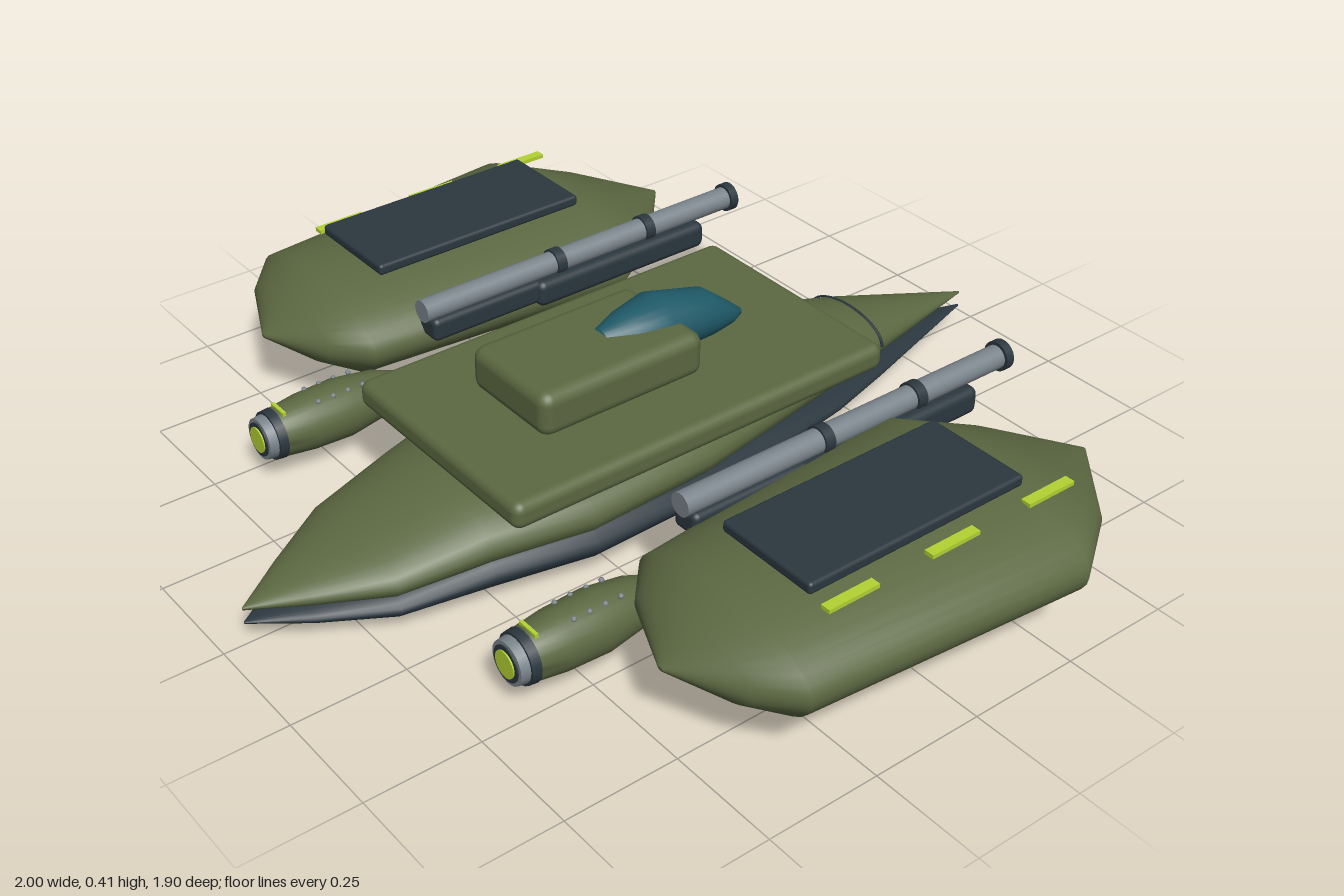
import * as THREE from 'three';
import { RoundedBoxGeometry } from 'three/addons/geometries/RoundedBoxGeometry.js';

function material(name, color) {
  const m = new THREE.MeshStandardMaterial({ color });
  m.name = name;
  return m;
}

// Closed skin over elliptical stations [z, halfWidth, topY, bottomY], ordered back to front
function loft(stations, cx = 0, sides = 32) {
  const pos = [], idx = [];
  for (const [z, rx, top, bottom] of stations) {
    for (let i = 0; i < sides; i++) {
      const a = (i / sides) * Math.PI * 2;
      pos.push(cx + rx * Math.cos(a), (top + bottom) / 2 + ((top - bottom) / 2) * Math.sin(a), z);
    }
  }
  for (let s = 0; s < stations.length - 1; s++) {
    for (let i = 0; i < sides; i++) {
      const j = (i + 1) % sides, a = s * sides, b = a + sides;
      idx.push(a + i, a + j, b + j, a + i, b + j, b + i);
    }
  }
  const last = (stations.length - 1) * sides;
  for (let i = 1; i < sides - 1; i++) {
    idx.push(0, i + 1, i, last, last + i, last + i + 1);
  }
  const g = new THREE.BufferGeometry();
  g.setAttribute('position', new THREE.Float32BufferAttribute(pos, 3));
  g.setIndex(idx);
  g.computeVertexNormals();
  return g;
}

export function createModel() {
  const green = material('olive green', 0x5c6842);
  const dark = material('dark slate', 0x2b373f);
  const grey = material('steel grey', 0x7a848b);
  const lime = material('lime accent', 0xb4d232);
  const teal = material('teal glass', 0x1f5a68);
  const model = new THREE.Group();
  model.name = 'hoverCraft';

  function add(parent, name, geo, mat, x = 0, y = 0, z = 0) {
    const m = new THREE.Mesh(geo, mat);
    m.name = name;
    m.position.set(x, y, z);
    parent.add(m);
    return m;
  }
  const box = (x0, x1, y0, y1, z0, z1, r) =>
    new RoundedBoxGeometry(x1 - x0, y1 - y0, z1 - z0, 3, r)
      .translate((x0 + x1) / 2, (y0 + y1) / 2, (z0 + z1) / 2);
  // Cylinder lying along z
  const rod = (r0, r1, z0, z1, sides = 24) =>
    new THREE.CylinderGeometry(r1, r0, z1 - z0, sides)
      .rotateX(Math.PI / 2).translate(0, 0, (z0 + z1) / 2);

  // Central hull: green upper shell over a dark keel
  add(model, 'upperHull', loft([
    [-0.95, 0.002, 0.093, 0.088], [-0.6, 0.11, 0.185, 0.08], [-0.43, 0.157, 0.22, 0.07],
    [0, 0.24, 0.235, 0.06], [0.3, 0.25, 0.233, 0.05], [0.51, 0.197, 0.21, 0.05],
    [0.7, 0.158, 0.162, 0.055], [0.84, 0.075, 0.125, 0.07], [0.95, 0.002, 0.093, 0.085]]), green);
  add(model, 'keel', loft([
    [-0.95, 0.002, 0.058, 0.052], [-0.6, 0.112, 0.082, 0.034], [-0.43, 0.163, 0.1, 0.027],
    [0, 0.25, 0.15, 0.008], [0.3, 0.26, 0.16, 0.004], [0.51, 0.207, 0.14, 0.006],
    [0.7, 0.163, 0.1, 0.016], [0.84, 0.08, 0.075, 0.034], [0.95, 0.002, 0.058, 0.052]]), dark);

  // Seam around the top of the tail
  const seam = add(model, 'tailSeam', new THREE.TorusGeometry(1, 0.03, 6, 32, Math.PI), dark, 0, 0.135, -0.59);
  seam.scale.set(0.115, 0.054, 0.12);

  // Deck, cabin and canopy
  add(model, 'deck', box(-0.28, 0.28, 0.224, 0.285, -0.43, 0.51, 0.022), green);
  add(model, 'cabin', box(-0.128, 0.128, 0.275, 0.376, -0.07, 0.335, 0.028), green);
  add(model, 'canopy', loft([
    [-0.27, 0.006, 0.3, 0.285], [-0.23, 0.033, 0.335, 0.28], [-0.17, 0.053, 0.383, 0.275],
    [-0.04, 0.075, 0.415, 0.28], [0.04, 0.058, 0.4, 0.3], [0.1, 0.028, 0.385, 0.33]], 0, 24), teal);

  for (const s of [1, -1]) {
    const side = new THREE.Group();
    side.name = s > 0 ? 'leftSide' : 'rightSide';
    model.add(side);

    // Outer float with top panel and accent strips
    add(side, 'float', loft([
      [-0.59, 0.006, 0.185, 0.175], [-0.43, 0.19, 0.25, 0.122], [-0.27, 0.3, 0.308, 0.08],
      [0.36, 0.242, 0.292, 0.088], [0.43, 0.165, 0.25, 0.125], [0.5, 0.008, 0.185, 0.175]],
      s * 0.7, 40), green);
    add(side, 'floatPanel', box(-0.12, 0.12, 0.3, 0.326, -0.27, 0.265, 0.008), dark, s * 0.7);
    for (const z of [-0.3, -0.05, 0.2]) {
      add(side, 'accentStrip', new THREE.BoxGeometry(0.022, 0.009, 0.12), lime, s * 0.855, 0.293, z);
    }

    // Long gun on a dark cradle
    const gun = new THREE.Group();
    gun.name = 'gun';
    gun.position.set(s * 0.442, 0.272, 0);
    side.add(gun);
    add(gun, 'barrel', rod(0.026, 0.026, -0.6, 0.25), grey);
    add(gun, 'cradle', box(-0.047, 0.047, -0.078, -0.015, -0.5, -0.03, 0.018), dark);
    add(gun, 'cradleRail', box(-0.034, 0.034, -0.07, -0.015, -0.05, 0.24, 0.014), dark);
    for (const z of [-0.355, -0.105]) add(gun, 'clamp', rod(0.031, 0.031, z - 0.012, z + 0.012), dark);
    add(gun, 'muzzle', rod(0.033, 0.033, -0.612, -0.592), dark);
    add(gun, 'muzzleGlow', rod(0.021, 0.021, -0.616, -0.611), lime);

    // Forward thruster
    const thruster = new THREE.Group();
    thruster.name = 'thruster';
    thruster.position.set(s * 0.452, 0.107, 0);
    side.add(thruster);
    add(thruster, 'thrusterBody', loft([
      [0.27, 0.008, 0.008, -0.008], [0.31, 0.03, 0.03, -0.03], [0.37, 0.053, 0.053, -0.053],
      [0.46, 0.066, 0.066, -0.066], [0.55, 0.063, 0.063, -0.063], [0.62, 0.054, 0.054, -0.054]],
      0, 28), green);
    add(thruster, 'collar', rod(0.056, 0.054, 0.618, 0.638), dark);
    add(thruster, 'nozzle', rod(0.049, 0.046, 0.636, 0.658), grey);
    add(thruster, 'nozzleInner', rod(0.038, 0.038, 0.656, 0.661), dark);
    add(thruster, 'nozzleGlow', rod(0.029, 0.029, 0.66, 0.664), lime);
    add(thruster, 'thrusterMark', new THREE.BoxGeometry(0.05, 0.009, 0.008), lime, 0, 0.054, 0.607);
    for (const x of [-0.03, 0.03]) {
      for (let i = 0; i < 4; i++) {
        add(thruster, 'rivet', new THREE.SphereGeometry(0.006, 8, 6), grey, x, 0.057, 0.42 + i * 0.036);
      }
    }
  }
  return model;
}
